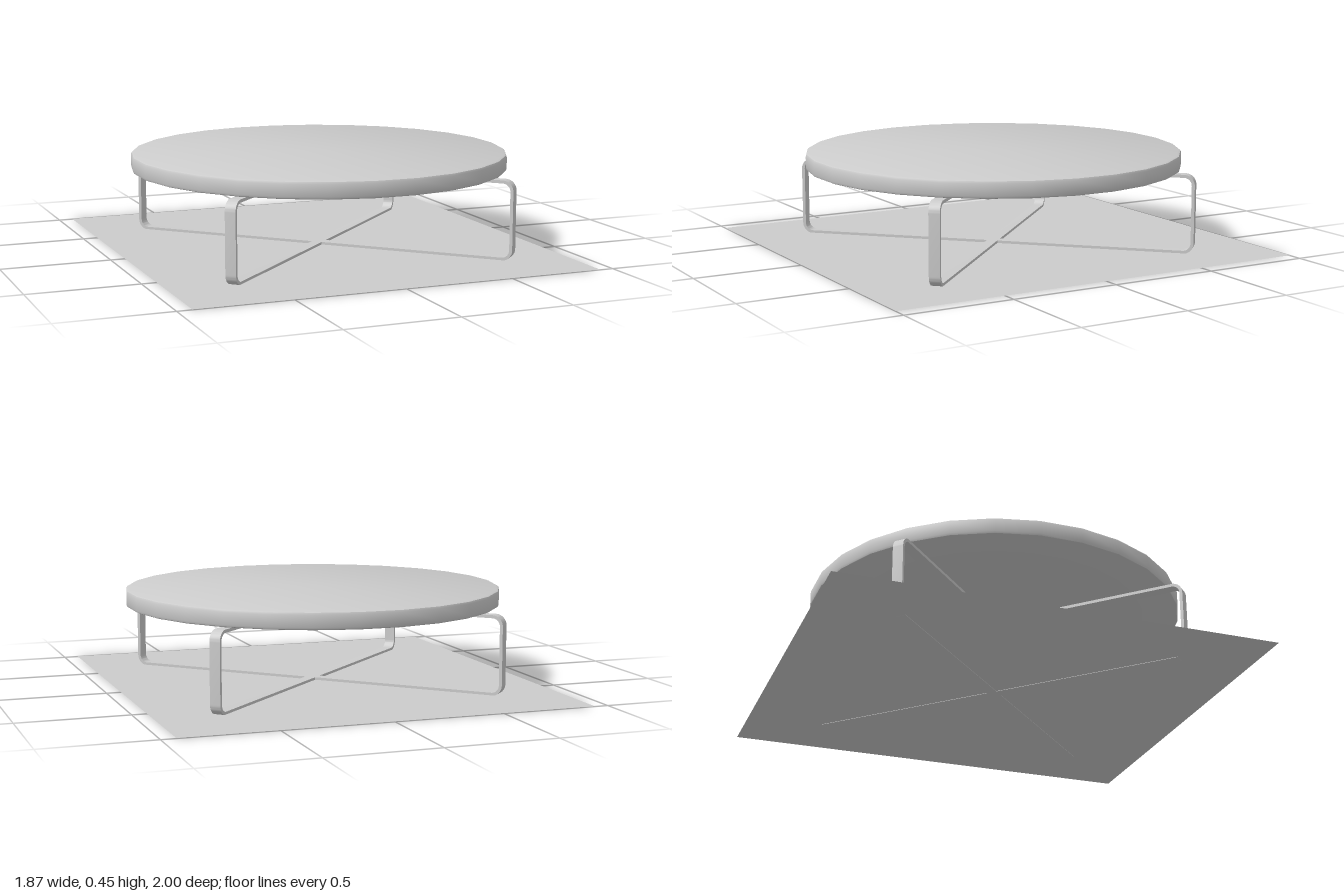
import * as THREE from 'three';
import { toCreasedNormals } from 'three/addons/utils/BufferGeometryUtils.js';

const grey = new THREE.MeshStandardMaterial({ color: 0xcccccc });
const greyThin = new THREE.MeshStandardMaterial({ color: 0xcccccc, side: THREE.DoubleSide });

// Traces a rounded rectangle centred on x, from y0 to y1
function roundedRect(path, halfW, y0, y1, r) {
  path.moveTo(-halfW + r, y0);
  path.lineTo(halfW - r, y0);
  path.absarc(halfW - r, y0 + r, r, -Math.PI / 2, 0);
  path.lineTo(halfW, y1 - r);
  path.absarc(halfW - r, y1 - r, r, 0, Math.PI / 2);
  path.lineTo(-halfW + r, y1);
  path.absarc(-halfW + r, y1 - r, r, Math.PI / 2, Math.PI);
  path.lineTo(-halfW, y0 + r);
  path.absarc(-halfW + r, y0 + r, r, Math.PI, Math.PI * 1.5);
  return path;
}

// Closed flat-bar loop that forms two opposite legs
function legFrameGeometry() {
  const halfW = 0.95, height = 0.366, bar = 0.014, width = 0.05, r = 0.05;
  const shape = roundedRect(new THREE.Shape(), halfW, 0, height, r);
  shape.holes.push(roundedRect(new THREE.Path(), halfW - bar, bar, height - bar, r - bar));
  const geo = new THREE.ExtrudeGeometry(shape, { depth: width, bevelEnabled: false, curveSegments: 6 });
  geo.translate(0, 0, -width / 2);
  return toCreasedNormals(geo, 0.6);
}

export function createModel() {
  const model = new THREE.Group();
  model.name = 'roundTable';

  const table = new THREE.Group();
  table.name = 'table';
  table.position.set(0.004, 0, 0.02);
  model.add(table);

  // Round top with softened rims
  const sides = 28;
  const profile = [
    [0, 0.369], [0.862, 0.369], [0.871, 0.373], [0.875, 0.382],
    [0.875, 0.435], [0.871, 0.444], [0.862, 0.448], [0, 0.448],
  ].map(([x, y]) => new THREE.Vector2(x, y));
  const topGeo = new THREE.LatheGeometry(profile, sides, Math.PI / sides);
  const top = new THREE.Mesh(toCreasedNormals(topGeo, 0.5), grey);
  top.name = 'tableTop';
  table.add(top);

  // Two crossed leg frames on the diagonals
  const frameGeo = legFrameGeometry();
  [1, -1].forEach((s, i) => {
    const frame = new THREE.Mesh(frameGeo, grey);
    frame.name = `legFrame${i + 1}`;
    frame.rotation.y = s * Math.PI / 4;
    table.add(frame);
  });

  // Thin rug sheet under the legs
  const rug = new THREE.Mesh(new THREE.PlaneGeometry(1.87, 2).rotateX(-Math.PI / 2), greyThin);
  rug.name = 'floorSheet';
  rug.position.y = 0.002;
  model.add(rug);

  return model;
}
